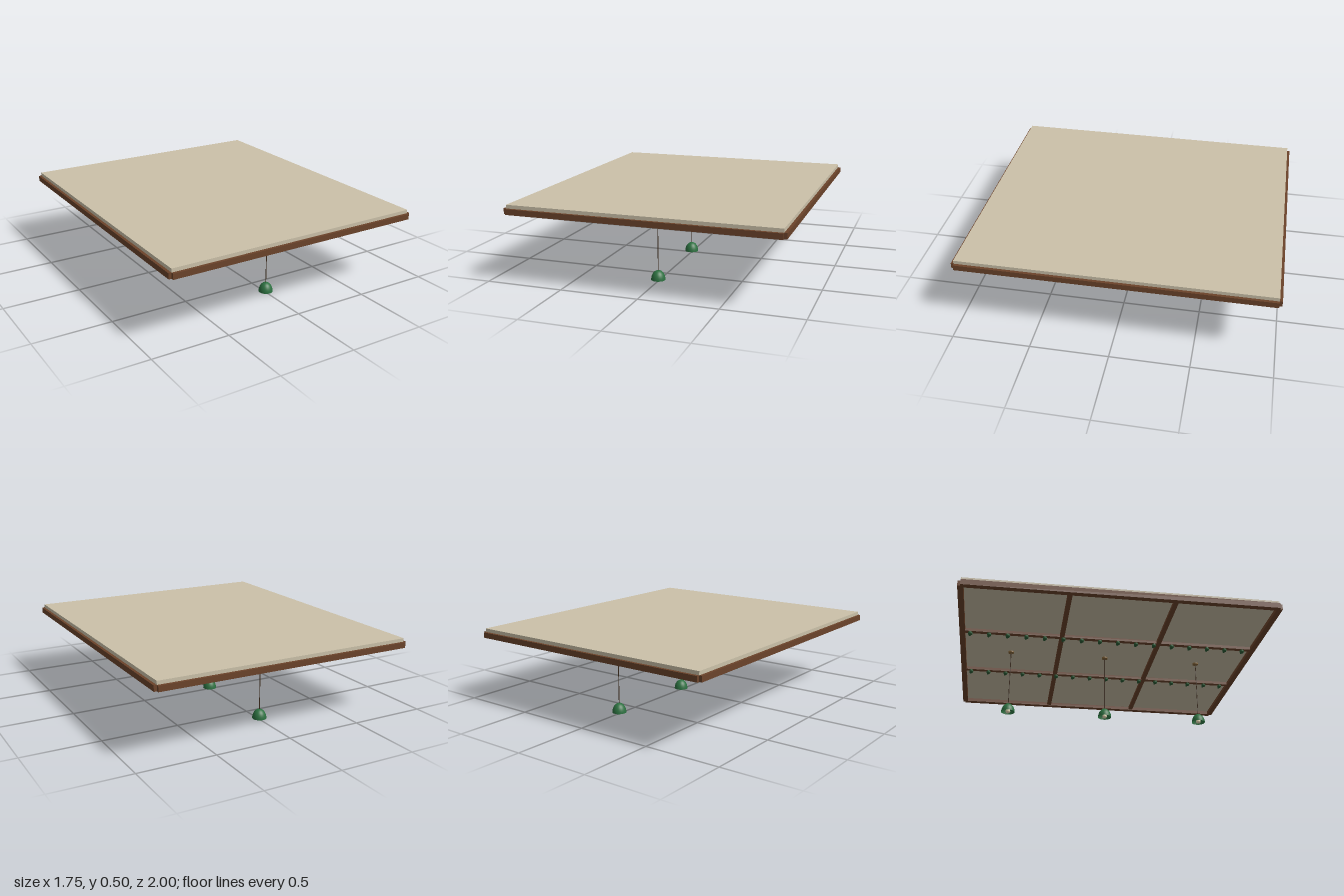
import * as THREE from 'three';

export function createModel() {
  const model = new THREE.Group();
  const material = (name, color, side = THREE.FrontSide) => {
    const m = new THREE.MeshStandardMaterial({ color, side });
    m.name = name;
    return m;
  };
  const plaster = material('plaster', 0xcbc1a9);
  const wood = material('wood', 0x6b432a);
  const enamel = material('green enamel', 0x2c7040, THREE.DoubleSide);
  const leaf = material('dark leaf', 0x2a5a34);
  const cord = material('cord', 0x3f2d1d);
  const brass = material('brass', 0x8a6a3c);
  const glow = material('warm bulb', 0xf3e6c0);

  const add = (name, geometry, mat, x, y, z, parent = model) => {
    const mesh = new THREE.Mesh(geometry, mat);
    mesh.name = name;
    mesh.position.set(x, y, z);
    parent.add(mesh);
    return mesh;
  };

  // Ceiling slab
  const W = 1.71, D = 1.964, slabBottom = 0.463, slabTop = 0.498;
  add('ceilingPanel', new THREE.BoxGeometry(W, slabTop - slabBottom, D), plaster,
    0, (slabTop + slabBottom) / 2, 0);

  // Perimeter beams, centred on the slab edges
  const beam = 0.036, beamY = 0.457;
  for (const s of [-1, 1]) {
    add('sideBeam', new THREE.BoxGeometry(beam, beam, D), wood, s * W / 2, beamY, 0);
    add('endBeam', new THREE.BoxGeometry(W, beam, beam), wood, 0, beamY, s * D / 2);
  }

  // Coffer grid, three by three
  for (const s of [-1, 1]) {
    add('longCofferBeam', new THREE.BoxGeometry(0.03, 0.024, D), wood, s * W / 6, 0.455, 0);
    add('crossCofferBeam', new THREE.BoxGeometry(W, 0.024, 0.03), wood, 0, 0.4555, s * D / 6);
  }

  // Leaf garlands hanging under the long beams
  const clump = new THREE.SphereGeometry(0.015, 10, 8);
  const tip = new THREE.SphereGeometry(0.008, 8, 6);
  for (const s of [-1, 1]) {
    const garland = new THREE.Group();
    garland.name = 'leafGarland';
    model.add(garland);
    for (let i = 0; i < 16; i++) {
      const z = 0.91 - i * 0.1227;
      add('leafClump', clump, leaf, s * W / 6, 0.434, z, garland);
      add('leafTip', tip, leaf, s * W / 6 + 0.011, 0.427, z - 0.004, garland);
    }
  }

  // Pendant lamps
  const shadeProfile = [];
  for (let i = 0; i <= 10; i++) {
    const a = (i / 10) * Math.PI / 2;
    shadeProfile.push(new THREE.Vector2(0.045 * Math.cos(a), 0.009 + 0.061 * Math.sin(a)));
  }
  const shade = new THREE.LatheGeometry(shadeProfile, 24);
  const cordGeometry = new THREE.CylinderGeometry(0.0025, 0.0025, 0.385, 8);
  const rose = new THREE.CylinderGeometry(0.02, 0.02, 0.01, 20);
  const bulb = new THREE.SphereGeometry(0.016, 16, 12);
  for (const z of [-0.655, 0, 0.655]) {
    const lamp = new THREE.Group();
    lamp.name = 'pendantLamp';
    lamp.position.z = z;
    model.add(lamp);
    add('ceilingRose', rose, brass, 0, 0.459, 0, lamp);
    add('lampCord', cordGeometry, cord, 0, 0.2605, 0, lamp);
    add('lampShade', shade, enamel, 0, 0, 0, lamp);
    add('bulb', bulb, glow, 0, 0.016, 0, lamp);
  }
  return model;
}
